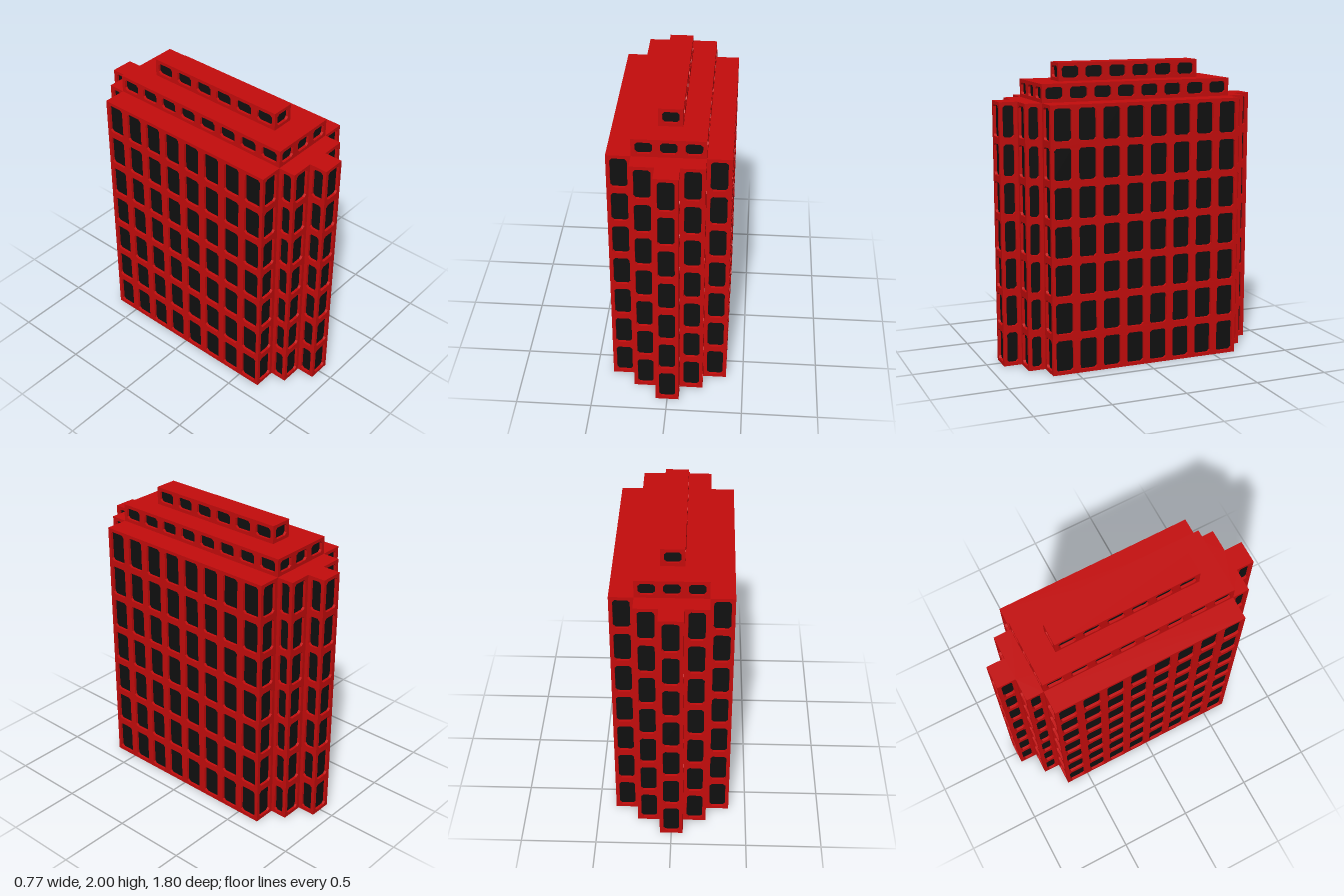
import * as THREE from 'three';

const red = new THREE.MeshStandardMaterial({ color: 0xc40c0c });
red.name = 'red facade';
const black = new THREE.MeshStandardMaterial({ color: 0x101010 });
black.name = 'black glass';

const WALL = 0.018;   // facade thickness, also the window recess
const SLAB = 0.012;   // roof thickness
const MARGIN = 0.024; // half the width of the bars between windows

// Rectangle with cut corners, used for each window opening
function opening(cx, cy, w, h, c) {
  const a = w / 2, b = h / 2;
  return new THREE.Path([
    [-a + c, -b], [a - c, -b], [a, -b + c], [a, b - c],
    [a - c, b], [-a + c, b], [-a, b - c], [-a, -b + c],
  ].map(([x, y]) => new THREE.Vector2(cx + x, cy + y)));
}

// Facade panel from p to q (seen from outside, left to right) with a grid of recessed windows
function wall(p, q, columns, rows, height) {
  const dx = q[0] - p[0], dz = q[1] - p[1];
  const length = Math.hypot(dx, dz);
  const cw = length / columns, ch = height / rows;
  const panel = new THREE.Shape([
    new THREE.Vector2(0, 0), new THREE.Vector2(length, 0),
    new THREE.Vector2(length, height - SLAB), new THREE.Vector2(0, height - SLAB),
  ]);
  const group = new THREE.Group();
  group.name = 'wall';
  const paneGeometry = new THREE.BoxGeometry(cw - 0.014, ch - 0.026, 0.004);
  for (let r = 0; r < rows; r++) {
    for (let c = 0; c < columns; c++) {
      const x = (c + 0.5) * cw, y = (r + 0.5) * ch;
      panel.holes.push(opening(x, y, cw - 2 * MARGIN, ch - 0.044, 0.015));
      const pane = new THREE.Mesh(paneGeometry, black);
      pane.name = 'windowPane';
      pane.position.set(x, y, -WALL - 0.002);
      group.add(pane);
    }
  }
  const geometry = new THREE.ExtrudeGeometry(panel, { depth: WALL, bevelEnabled: false });
  geometry.translate(0, 0, -WALL);
  const facade = new THREE.Mesh(geometry, red);
  facade.name = 'facade';
  group.add(facade);
  group.position.set(p[0], 0, p[1]);
  group.rotation.y = Math.atan2(-dz, dx);
  return group;
}

// One storey block: walls along a closed outline plus a flat roof; open underneath
function tier(name, outline, base, top, rows, columnsFor) {
  const group = new THREE.Group();
  group.name = name;
  const height = top - base;
  outline.forEach((p, i) => {
    const q = outline[(i + 1) % outline.length];
    group.add(wall(p, q, columnsFor(p, q), rows, height));
  });
  const shape = new THREE.Shape(outline.map(([x, z]) => new THREE.Vector2(x, -z)));
  const slab = new THREE.ExtrudeGeometry(shape, { depth: SLAB, bevelEnabled: false });
  slab.rotateX(-Math.PI / 2);
  const roof = new THREE.Mesh(slab, red);
  roof.name = 'roof';
  roof.position.y = height - SLAB;
  group.add(roof);
  group.position.y = base;
  return group;
}

export function createModel() {
  const model = new THREE.Group();
  model.name = 'towerBlock';

  // Stepped footprint: one quarter, mirrored to the back, then turned to the other side
  const quarter = [[0.077, 0.9], [0.077, 0.777], [0.23, 0.777], [0.23, 0.662], [0.385, 0.662]];
  const half = [...quarter, ...quarter.map(([x, z]) => [x, -z]).reverse()];
  const stepped = [...half, ...half.map(([x, z]) => [-x, -z])];
  const rectangle = (x, z) => [[x, z], [x, -z], [-x, -z], [-x, z]];

  // Columns of windows follow the bay width
  const bays = (p, q) => Math.max(1, Math.round(Math.hypot(q[0] - p[0], q[1] - p[1]) / 0.16));

  model.add(tier('mainBlock', stepped, 0, 1.76, 7, bays));
  model.add(tier('upperBlock', rectangle(0.23, 0.662), 1.76, 1.88, 1, bays));
  model.add(tier('topBlock', rectangle(0.077, 0.497), 1.88, 2, 1, bays));
  return model;
}
